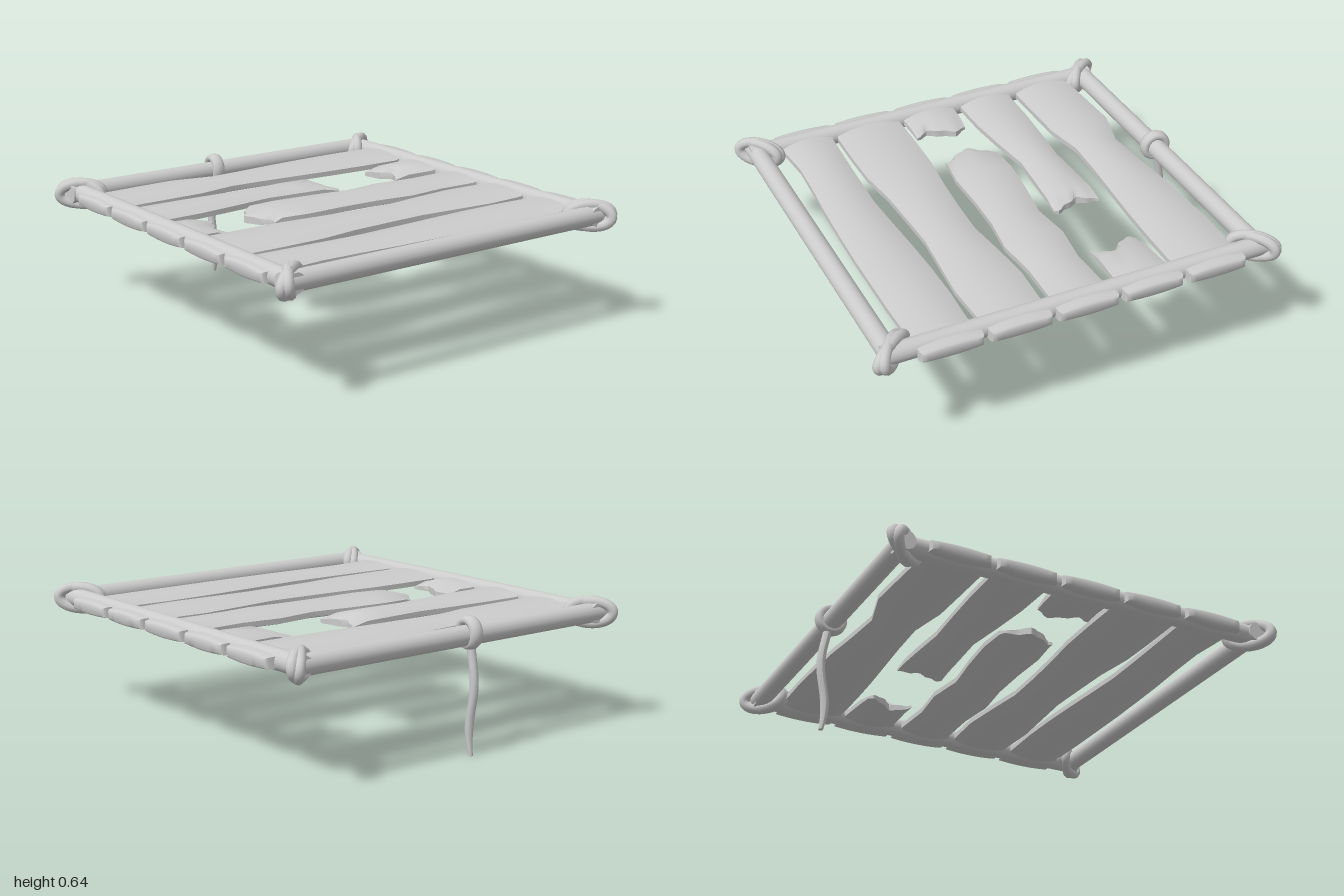
import * as THREE from 'three';
import { toCreasedNormals } from 'three/addons/utils/BufferGeometryUtils.js';

const material = new THREE.MeshStandardMaterial({ color: 0xcccccc });
const POLE_Y = 0.55;
const COLS = 12;

function add(parent, name, geometry) {
  const mesh = new THREE.Mesh(geometry, material);
  mesh.name = name;
  parent.add(mesh);
  return mesh;
}

// Value of an evenly spaced list at u in 0..1
function sample(list, u) {
  const f = u * (list.length - 1);
  const i = Math.min(Math.floor(f), list.length - 2);
  return THREE.MathUtils.lerp(list[i], list[i + 1], f - i);
}

// Squared-off plank end that passes through the pole and sticks out behind it
function endRows(centreX, side) {
  const tip = side > 0 ? 0.93 : 0.958;
  const row = (z, inset, half) => ({
    z: side * z, y: 0.548, half, falloff: 0.25, right: centreX - 0.148 + inset, left: centreX + 0.148 - inset,
  });
  return [row(0.87, 0, 0.034), row(tip - 0.02, 0.001, 0.034), row(tip - 0.006, 0.008, 0.029), row(tip, 0.017, 0.021)];
}

// Wavy middle of a plank, domed above and below
function midRow(lane, z) {
  const u = THREE.MathUtils.clamp((z + 0.8) / 1.6, 0, 1);
  return { z, y: 0.548, half: 0.036, falloff: 0.65, right: sample(lane.right, u), left: sample(lane.left, u) };
}

// Thinned rows leading from the sound wood (first) to the broken edge (last)
function tornRows(lane, tear, direction) {
  const near = midRow(lane, tear.z - direction * 0.07);
  const torn = midRow(lane, tear.z);
  return [
    { ...near, half: 0.033 },
    { ...torn, y: torn.y - 0.012, half: 0.017, tear },
  ];
}

// Rows of one piece of a lane, from back to front
function pieceRows(lane, centreX, startTear, endTear) {
  const from = startTear ? startTear.z + 0.09 : -0.81;
  const to = endTear ? endTear.z - 0.09 : 0.81;
  const rows = startTear ? tornRows(lane, startTear, -1).reverse() : endRows(centreX, -1).reverse();
  for (let i = 0; i <= 8; i++) {
    const z = -0.8 + 0.2 * i;
    if (z > from && z < to) rows.push(midRow(lane, z));
  }
  rows.push(...(endTear ? tornRows(lane, endTear, 1) : endRows(centreX, 1)));
  return rows;
}

// Closed solid lofted through the rows, ragged at torn ends
function plankGeometry(rows) {
  const positions = [], index = [], ring = 2 * (COLS + 1);
  for (const row of rows) {
    for (let k = 0; k < ring; k++) {
      const top = k <= COLS;
      const u = (top ? k : ring - 1 - k) / COLS;
      const t = (top ? 1 : -1) * row.half * (1 - row.falloff * (2 * u - 1) ** 2);
      const ragged = row.tear ? row.tear.amp * Math.cos(2 * Math.PI * (u - row.tear.peak)) + 0.008 * Math.sin(19 * u) : 0;
      positions.push(THREE.MathUtils.lerp(row.right, row.left, u), row.y + t, row.z + ragged);
    }
  }
  for (let i = 0; i < rows.length - 1; i++) {
    for (let k = 0; k < ring; k++) {
      const a = i * ring + k, b = i * ring + (k + 1) % ring;
      index.push(a, a + ring, b, b, a + ring, b + ring);
    }
  }
  const end = (rows.length - 1) * ring;
  for (let j = 0; j < COLS; j++) {
    const t0 = j, t1 = j + 1, b0 = ring - 1 - j, b1 = ring - 2 - j;
    index.push(t0, t1, b0, t1, b1, b0);
    index.push(end + t0, end + b0, end + t1, end + t1, end + b0, end + b1);
  }
  const geometry = new THREE.BufferGeometry();
  geometry.setAttribute('position', new THREE.Float32BufferAttribute(positions, 3));
  geometry.setIndex(index);
  return toCreasedNormals(geometry, 0.9);
}

// Oval rope ring standing upright in its own xy plane
function loopGeometry(halfLength, halfHeight, thickness) {
  const points = [];
  for (let i = 0; i < 20; i++) {
    const a = (i / 20) * Math.PI * 2;
    points.push(new THREE.Vector3(Math.cos(a) * halfLength, Math.sin(a) * halfHeight, 0));
  }
  return new THREE.TubeGeometry(new THREE.CatmullRomCurve3(points, true), 40, thickness, 10, true);
}

export function createModel() {
  const model = new THREE.Group();
  model.name = 'plankHatch';

  // Frame of four poles
  const pole = (name, length, x, z, alongX) => {
    const mesh = add(model, name, new THREE.CylinderGeometry(0.047, 0.047, length, 18));
    mesh.position.set(x, POLE_Y, z);
    if (alongX) mesh.rotation.z = Math.PI / 2;
    else mesh.rotation.x = Math.PI / 2;
  };
  pole('backPole', 1.88, 0, -0.868, true);
  pole('frontPole', 1.88, 0, 0.857, true);
  pole('rightPole', 1.8, -0.905, 0.01, false);
  pole('leftPole', 1.8, 0.903, 0.01, false);

  // Planks: right and left edges sampled from back to front, two lanes broken apart
  const lanes = [
    { right: [-0.8, -0.805, -0.8, -0.79, -0.77, -0.755, -0.81, -0.803, -0.795],
      left: [-0.48, -0.485, -0.495, -0.51, -0.525, -0.535, -0.5, -0.497, -0.495] },
    { right: [-0.455, -0.44, -0.44, -0.44, -0.435, -0.425, -0.44, -0.452, -0.455],
      left: [-0.19, -0.2, -0.2, -0.2, -0.215, -0.23, -0.205, -0.185, -0.18],
      tears: [{ z: -0.585, amp: 0.035, peak: 0.15 }, { z: -0.195, amp: 0.022, peak: 0.42 }] },
    { right: [-0.135, -0.125, -0.15, -0.125, -0.155, -0.175, -0.165, -0.13, -0.14],
      left: [0.13, 0.125, 0.145, 0.12, 0.115, 0.12, 0.095, 0.13, 0.135],
      tears: [{ z: 0.413, amp: 0.033, peak: 0.48 }, { z: 0.653, amp: 0.028, peak: 0.74 }] },
    { right: [0.17, 0.16, 0.18, 0.205, 0.198, 0.185, 0.165, 0.16, 0.16],
      left: [0.475, 0.485, 0.47, 0.455, 0.463, 0.473, 0.5, 0.503, 0.5] },
    { right: [0.515, 0.507, 0.51, 0.52, 0.533, 0.545, 0.54, 0.533, 0.525],
      left: [0.795, 0.8, 0.8, 0.8, 0.795, 0.788, 0.775, 0.767, 0.785] },
  ];
  lanes.forEach((lane, i) => {
    const centreX = (i - 2) * 0.324;
    const [backTear, frontTear] = lane.tears ?? [];
    add(model, `plank${i + 1}`, plankGeometry(pieceRows(lane, centreX, undefined, backTear)));
    if (frontTear) add(model, `brokenPlank${i + 1}`, plankGeometry(pieceRows(lane, centreX, frontTear)));
  });

  // Crossed rope lashings at the corners
  for (const sx of [-1, 1]) {
    for (const sz of [-1, 1]) {
      const lashing = new THREE.Group();
      lashing.name = 'cornerLashing';
      lashing.position.set(sx * 0.89, POLE_Y, sz * 0.857);
      lashing.rotation.y = -sx * sz * Math.PI / 4;
      for (const s of [-1, 1]) {
        const loop = add(lashing, 'ropeLoop', loopGeometry(0.107, 0.053, 0.025));
        loop.rotation.set(0.1 * s, 0.14 * s, 0.06 * s);
      }
      model.add(lashing);
    }
  }

  // Knot on the right pole and the loose rope end hanging from it
  const knot = add(model, 'knotLoop', loopGeometry(0.054, 0.056, 0.022));
  knot.scale.z = 1.5;
  knot.position.set(-0.905, 0.56, 0.07);
  knot.rotation.y = -0.12;

  const rope = new THREE.CylinderGeometry(0.02, 0.02, 0.53, 10, 20);
  rope.translate(0, 0.265, 0);
  const p = rope.attributes.position;
  for (let i = 0; i < p.count; i++) {
    const u = THREE.MathUtils.clamp(p.getY(i) / 0.53, 0, 1);
    const girth = Math.min(1, 0.55 + 2 * u);
    p.setX(i, p.getX(i) * girth - 0.93 - 0.014 * Math.sin((u - 0.41) * 7.5));
    p.setZ(i, p.getZ(i) * girth + 0.07);
  }
  rope.computeVertexNormals();
  add(model, 'hangingRope', rope);

  return model;
}
